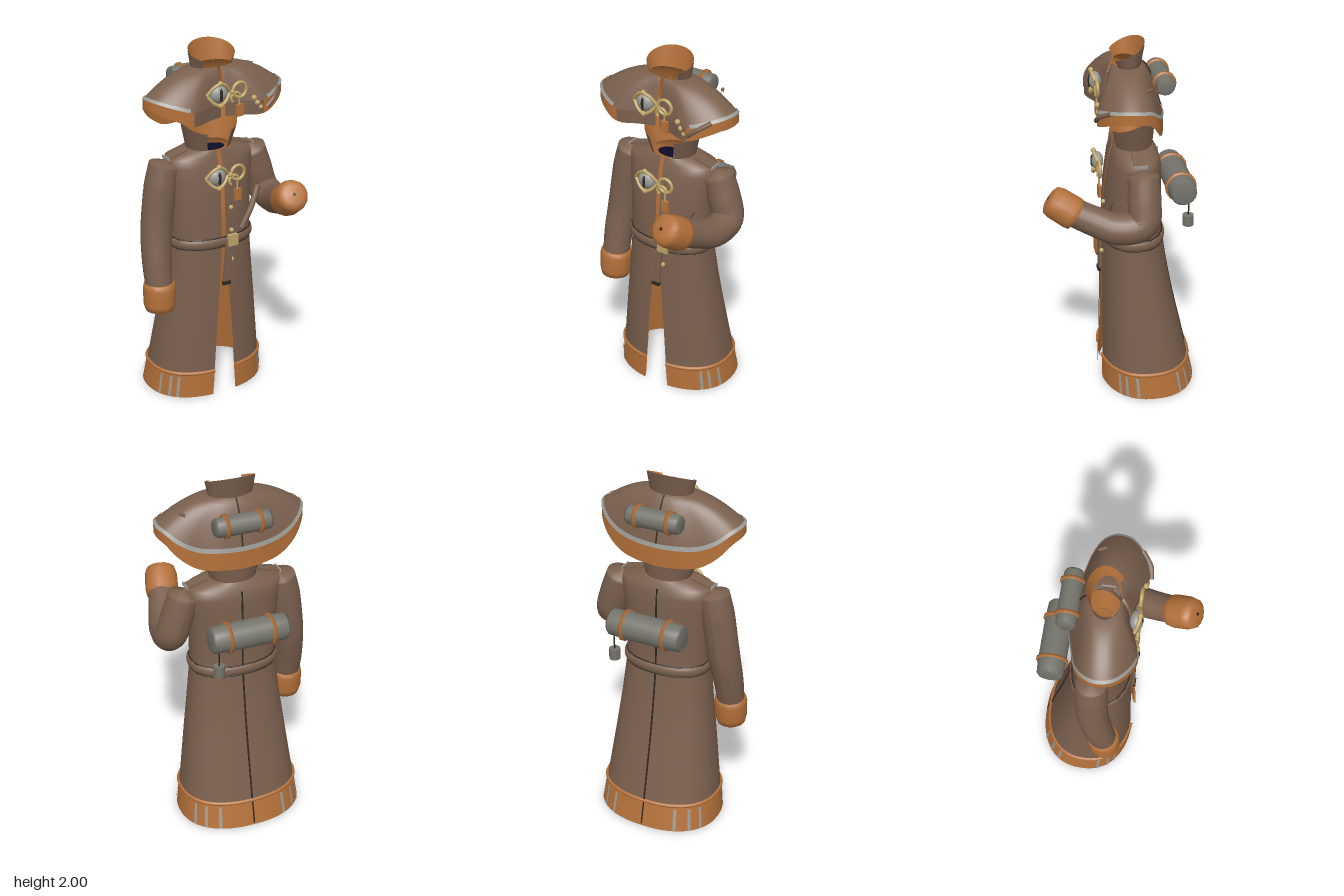
import * as THREE from 'three';

const mat = (name, color, side = THREE.FrontSide) => {
  const m = new THREE.MeshStandardMaterial({ color, side });
  m.name = name;
  return m;
};
const V = (x, y, z) => new THREE.Vector3(x, y, z);
const TAU = Math.PI * 2;

// Surface from a rule p(u, v); u in 0..1, vs lists the v values
function grid(p, nu, vs, flip = false) {
  const pos = [], idx = [], n = nu + 1;
  for (const v of vs) for (let i = 0; i <= nu; i++) pos.push(...p(i / nu, v).toArray());
  for (let j = 0; j < vs.length - 1; j++) for (let i = 0; i < nu; i++) {
    const a = j * n + i, b = a + 1, c = b + n, d = a + n;
    if (flip) idx.push(a, c, b, a, d, c); else idx.push(a, b, c, a, c, d);
  }
  const g = new THREE.BufferGeometry();
  g.setAttribute('position', new THREE.Float32BufferAttribute(pos, 3));
  g.setIndex(idx);
  g.computeVertexNormals();
  return g;
}
const range = (a, b, n) => Array.from({ length: n + 1 }, (_, i) => a + (b - a) * i / n);

// Coat sections: height, half width, front z, back z, half opening
const ROWS = [
  [0, .34, .085, -.435, .075], [.15, .322, .085, -.4, .065], [.5, .28, .08, -.32, .042], [.68, .258, .076, -.285, .026],
  [.9, .235, .07, -.25, .012], [1, .235, .068, -.242, .012], [1.2, .243, .058, -.24, .012], [1.35, .26, .035, -.235, .012],
  [1.395, .25, .022, -.222, .012], [1.43, .12, .012, -.2, .012]];
function section(y) {
  let i = 0;
  while (i < ROWS.length - 2 && y > ROWS[i + 1][0]) i++;
  const k = (y - ROWS[i][0]) / (ROWS[i + 1][0] - ROWS[i][0]);
  return ROWS[i].map((a, c) => a + (ROWS[i + 1][c] - a) * k);
}
const pw = (s, e) => Math.sign(s) * Math.abs(s) ** e;
function coatAt(a, y, off = 0) {
  const [, w, f, b] = section(y), s = Math.sin(a), c = Math.cos(a);
  return V(w * pw(s, .87) + off * s, y, (f + b) / 2 + (f - b) / 2 * pw(c, .87) + off * c);
}
const openCoat = off => (u, y) => {
  const [, w, , , s] = section(y), a0 = Math.asin((s / w) ** (1 / .87));
  return coatAt(a0 + u * (TAU - 2 * a0), y, off);
};

// Cape hem, from front centre round one side to back centre
const HEM = new THREE.CatmullRomCurve3([
  [0, 1.63, .06], [.1, 1.63, .09], [.21, 1.63, .125], [.31, 1.67, .09], [.38, 1.7, .02], [.395, 1.7, -.06],
  [.37, 1.68, -.12], [.31, 1.61, -.17], [.22, 1.55, -.2], [.11, 1.535, -.23], [0, 1.53, -.24]].map(p => V(...p)));
const capeAt = (from, to, off = 0) => (u, t) => {
  const q = from + u * (to - from), s = q > 1 ? 2 - q : q, h = HEM.getPoint(s), a = s * Math.PI;
  const k = Math.min(1, t / .8) ** .85, ky = t ** 1.5;
  let x = .118 * Math.sin(a) * (1 - k) + h.x * k;
  const z = (-.06 + .073 * Math.cos(a)) * (1 - k) + h.z * k, y = 1.885 + (h.y - 1.885) * ky;
  if (s < .5) x = Math.max(x, .012);
  x += off * Math.sin(a);
  return V(q > 1 ? -x : x, y + off * .5, z + off * Math.cos(a));
};

export function createModel() {
  const M = {
    cloth: mat('brown cloth', 0x7a604e), leather: mat('orange leather', 0xb4713a, THREE.DoubleSide),
    canvas: mat('grey canvas', 0x74736b), bone: mat('bone', 0xbfa566), dark: mat('dark seam', 0x30261f),
    silver: mat('silver', 0x9a9a96, THREE.DoubleSide), navy: mat('dark inside', 0x0b0b2a)
  };
  const root = new THREE.Group();
  const add = (name, geo, m, pos = [0, 0, 0], parent = root) => {
    const o = new THREE.Mesh(geo, m);
    o.name = name;
    o.position.set(...pos);
    parent.add(o);
    return o;
  };
  const rod = (name, pts, r, m) => add(name, new THREE.TubeGeometry(
    new THREE.CatmullRomCurve3(pts.map(p => V(...p))), 20, r, 8), m);

  // Coat body, lining and hem
  const ys = [.15, .25, .38, .5, .6, .68, .8, .9, 1, 1.1, 1.2, 1.28, 1.35, 1.395, 1.43];
  add('coatBody', grid(openCoat(0), 64, ys), M.cloth);
  add('coatLining', grid(openCoat(-.004), 64, [0, ...ys], true), M.leather);
  add('hemBand', grid(openCoat(.004), 64, [0, .08, .15]), M.leather);
  add('hemTrim', grid((u, v) => {
    const p = openCoat(.002 + .012 * Math.cos(v))(u, .148);
    p.y += .01 * Math.sin(v);
    return p;
  }, 64, range(-Math.PI / 2, Math.PI / 2, 4)), M.leather);
  for (const side of [1, -1]) for (const d of [48, 58, 72, 120, 134, 150]) {
    const a = side * d * Math.PI / 180;
    add('hemStrip', grid((u, y) => coatAt(a + (u - .5) * .06, y, .008), 2, [.005, .13]), M.silver);
  }
  rod('backSeam', range(.01, 1.39, 12).map(y => coatAt(Math.PI, y, .002).toArray()), .005, M.dark);
  add('neckInside', new THREE.CircleGeometry(1, 24), M.navy, [.004, 1.42, -.072]).scale.set(.08, .053, 1);
  root.children.at(-1).rotation.x = -Math.PI / 2;
  for (const s of [1, -1]) {
    const strap = add('shoulderStrap', new THREE.BoxGeometry(.12, .008, .06), M.cloth, [s * .2, 1.416, -.09]);
    strap.rotation.z = -s * .26;
    add('shoulderEdge', new THREE.BoxGeometry(.008, .014, .07), M.silver, [s * .26, 1.401, -.09]);
  }

  // Open standing collars
  const collar = (name, a0, b, t) => {
    const f = (u, v) => {
      const a = a0 + u * (TAU - 2 * a0), m = i => b[i] + (t[i] - b[i]) * v, c = Math.cos(a);
      return V(m(0) * Math.sin(a), (m(3) + m(4)) / 2 + (m(3) - m(4)) / 2 * c, (m(1) + m(2)) / 2 + (m(1) - m(2)) / 2 * c);
    };
    add(name, grid(f, 40, range(0, 1, 4)), M.cloth);
    add(name + 'Lining', grid((u, v) => f(u, v).multiply(V(.985, 1, .985)), 40, range(0, 1, 4), true), M.leather);
  };
  // each: half width, front z, back z, front y, back y
  collar('coatCollar', .48, [.125, .012, -.2, 1.425, 1.425], [.163, .04, -.215, 1.525, 1.63]);
  collar('capeCollar', .75, [.118, .013, -.133, 1.88, 1.88], [.132, .04, -.155, 1.915, 2]);

  // Cape
  add('cape', grid(capeAt(0, 2), 80, range(0, .8, 10), true), M.cloth);
  for (const r of [[0, .2], [1.8, 2]]) add('capeFrontEdge', grid(capeAt(...r), 8, [.8, .9, 1], true), M.cloth);
  add('capeLining', grid(capeAt(0, 2, -.004), 80, range(0, 1, 12)), M.leather);
  add('capeBand', grid(capeAt(.2, 1.8, .004), 64, [.8, .9, 1], true), M.leather);
  add('capeStripe', grid(capeAt(.22, 1.78, .006), 64, [.75, .8], true), M.silver);
  rod('capeSeam', range(.02, .8, 8).map(t => capeAt(1, 1, .002)(0, t).toArray()), .004, M.dark);
  rod('capePin', [[.22, 1.665, .135], [.27, 1.705, .125], [.33, 1.745, .075]], .012, M.cloth);
  rod('capeToggle', [[.265, 1.83, -.14], [.285, 1.83, -.1]], .008, M.cloth);
  [[.155, 1.72], [.175, 1.69], [.195, 1.665]].forEach(([x, y]) =>
    add('bead', new THREE.SphereGeometry(.015, 10, 8), M.bone, [x, y, .115]));

  // Sleeves
  const sleeve = (name, pts, radii) => {
    const c = new THREE.CatmullRomCurve3(pts.map(p => V(...p))), n = 32, fr = c.computeFrenetFrames(n);
    const f = (u, j) => {
      const k = j / n * (radii.length - 1), i = Math.min(radii.length - 2, Math.floor(k));
      const r = j === 0 ? .001 : radii[i] + (radii[i + 1] - radii[i]) * (k - i), a = u * TAU;
      return c.getPoint(Math.max(0, j) / n).addScaledVector(fr.normals[j], r * Math.cos(a)).addScaledVector(fr.binormals[j], r * Math.sin(a));
    };
    add(name, grid(f, 20, range(0, n, n)), M.cloth);
  };
  sleeve('rightSleeve', [[-.262, 1.385, -.1], [-.29, 1.25, -.1], [-.325, 1, -.09], [-.342, .83, -.06], [-.345, .7, -.035]], [.08, .088, .086, .08, .074]);
  sleeve('leftSleeve', [[.265, 1.385, -.1], [.31, 1.24, -.1], [.345, 1.12, -.085], [.335, 1.095, .04], [.3, 1.135, .16], [.268, 1.185, .27]], [.08, .088, .086, .083, .078, .074]);
  const cuff = (name, from, dir) => {
    const prof = [[.072, 0], [.085, .002], [.09, .03], [.088, .12], [.078, .155], [.05, .168], [0, .17]];
    const g = new THREE.Group();
    g.name = name;
    g.position.set(...from);
    g.quaternion.setFromUnitVectors(V(0, 1, 0), V(...dir).normalize());
    add('cuffLeather', new THREE.LatheGeometry(prof.map(p => new THREE.Vector2(...p)), 14), M.leather, [0, 0, 0], g);
    add('cuffHole', new THREE.CylinderGeometry(.009, .009, .006, 8), M.dark, [0, .17, 0], g);
    root.add(g);
  };
  cuff('rightCuff', [-.343, .72, -.035], [-.02, -1, .06]);
  cuff('leftCuff', [.272, 1.165, .25], [-.25, .6, .9]);

  // Belt, buckle and hanging end
  add('belt', grid((u, v) => {
    const p = coatAt(u * TAU, .92, .014 * Math.cos(v) + .001);
    p.y += .027 * Math.sin(v);
    return p;
  }, 64, range(-Math.PI / 2, Math.PI / 2, 8)), M.cloth);
  for (const y of [.893, .947]) rod('beltEdge', range(0, TAU, 24).map(a => coatAt(a, y, .004).toArray()), .004, M.dark);
  add('buckle', new THREE.BoxGeometry(.06, .065, .02), M.bone, [.047, .925, .085]);
  const end = add('beltEnd', new THREE.BoxGeometry(.042, .22, .012), M.cloth, [.015, .79, .087]);
  end.rotation.z = -.08;
  add('beltTip', new THREE.BoxGeometry(.046, .02, .016), M.dark, [.006, .68, .09]);
  for (const y of [1.11, .98, .81]) add('button', new THREE.SphereGeometry(.013, 10, 8), M.bone, [.045, y, section(y)[2] + .008]);
  rod('sidePin', [[.11, .98, .075], [.17, 1.09, .075], [.22, 1.2, .06]], .016, M.cloth);

  // Eye clasps with ring and tag
  const clasp = (x, y, z, drop) => {
    const g = new THREE.Group();
    g.name = 'eyeClasp';
    g.position.set(x, y, z);
    root.add(g);
    const lid = s => new THREE.TubeGeometry(new THREE.CatmullRomCurve3(
      [[-.07, 0, 0], [-.035, s * .042, .015], [0, s * .058, .022], [.035, s * .042, .015], [.07, 0, 0]].map(p => V(...p))), 20, .009, 8);
    for (const s of [1, -1]) {
      add('eyelid', lid(s), M.bone, [0, 0, 0], g);
      add('lidKnob', new THREE.SphereGeometry(.014, 10, 8), M.bone, [0, s * .06, .02], g);
    }
    add('eyeball', new THREE.SphereGeometry(.05, 20, 14), M.silver, [0, 0, 0], g).scale.set(1, .95, .65);
    add('pupil', new THREE.SphereGeometry(.012, 10, 10), M.dark, [0, 0, .028], g).scale.set(.8, 3, .7);
    add('ring', new THREE.TorusGeometry(.04, .009, 8, 24), M.bone, [.122, .005, .01], g);
    add('ringLink', new THREE.SphereGeometry(.013, 10, 8), M.bone, [.078, 0, .008], g);
    add('hook', new THREE.TorusGeometry(.028, .008, 8, 16, 4), M.bone, [.1, -.035, .008], g);
    add('cord', new THREE.CylinderGeometry(.005, .005, drop - .06), M.bone, [.12, -.03 - (drop - .06) / 2, .01], g);
    add('tag', new THREE.BoxGeometry(.042, .065, .016), M.leather, [.122, -drop, .01], g);
  };
  clasp(-.052, 1.31, .085, .12);
  clasp(-.05, 1.77, .095, .105);

  // Rolled blankets with straps
  const roll = (name, x0, x1, r, y, z, straps) => {
    const h = (x1 - x0) / 2, g = new THREE.Group();
    g.name = name;
    g.position.set((x0 + x1) / 2, y, z);
    g.rotation.z = -Math.PI / 2;
    root.add(g);
    const prof = [[0, -h], [r * .8, -h], [r * .94, -h + .012], [r, -h * .55], [r, h * .55], [r * .94, h - .012], [r * .8, h], [0, h]];
    add('blanket', new THREE.LatheGeometry(prof.map(p => new THREE.Vector2(...p)), 16), M.canvas, [0, 0, 0], g);
    for (const s of straps) {
      const q = r + .01, sp = [[r - .01, -.008], [q, -.008], [q, .008], [r - .01, .008]];
      add('strap', new THREE.LatheGeometry(sp.map(p => new THREE.Vector2(...p)), 16), M.leather, [0, s - (x0 + x1) / 2, 0], g);
    }
  };
  roll('coatRoll', -.205, .215, .075, 1.2, -.335, [-.115, .122]);
  roll('capeRoll', -.145, .155, .053, 1.79, -.24, [-.083, .097]);
  rod('cupCord', [[.18, 1.14, -.365], [.18, 1.1, -.367], [.18, 1.05, -.365]], .004, M.dark);
  add('hangingCup', new THREE.CylinderGeometry(.03, .03, .06, 12), M.canvas, [.18, 1.03, -.365]);

  return root;
}
